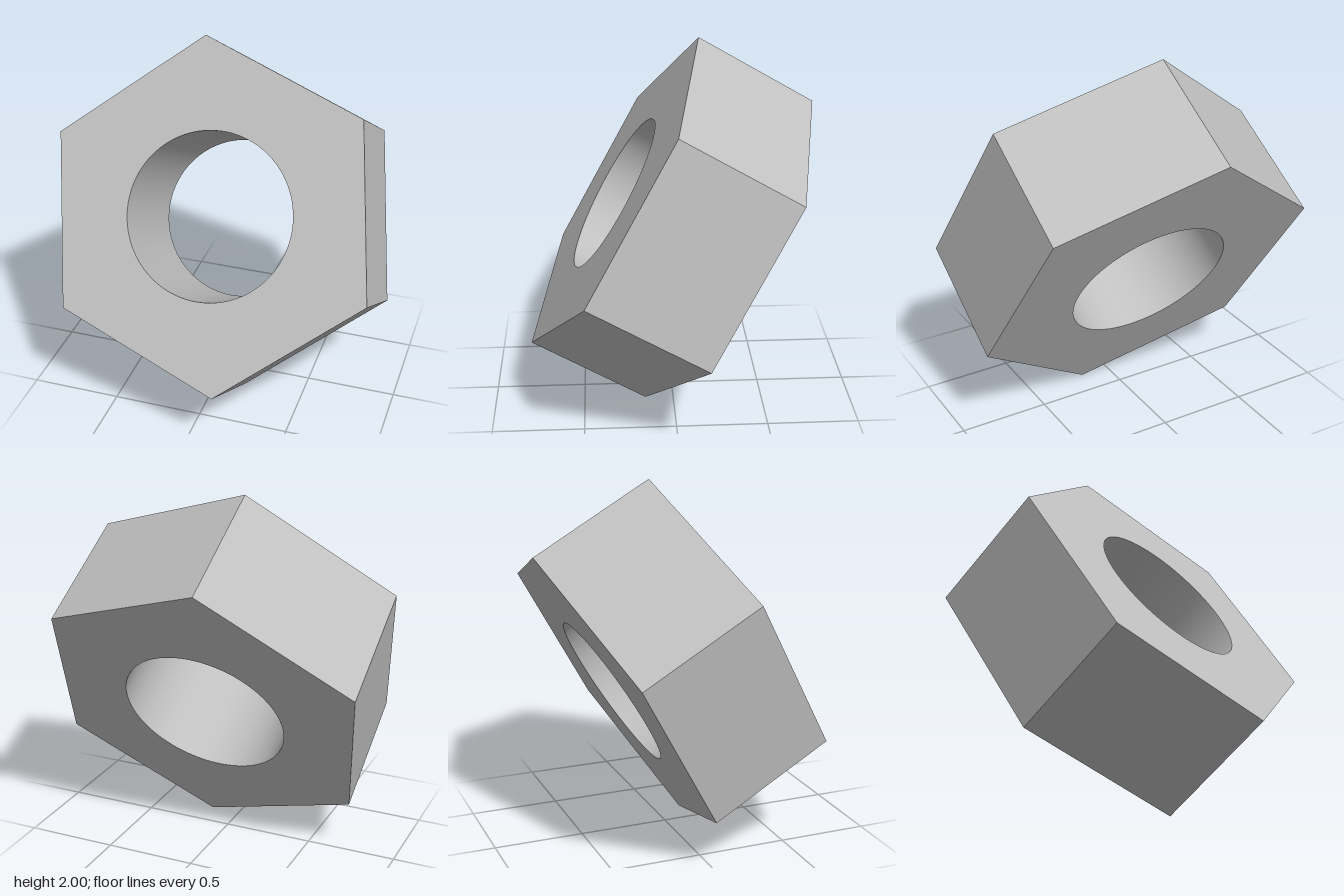
import * as THREE from 'three';
import { toCreasedNormals } from 'three/addons/utils/BufferGeometryUtils.js';

const RADIUS = 0.958, HOLE = 0.454, DEPTH = 0.728;

export function createModel() {
  const model = new THREE.Group();
  model.name = 'hexNut';
  const steel = new THREE.MeshStandardMaterial({ color: 0xc0c0c0 });
  steel.name = 'steel grey';

  // Hexagonal outline, turned 10 degrees about the bore axis
  const corners = Array.from({ length: 6 }, (_, i) => {
    const a = THREE.MathUtils.degToRad(40 + i * 60);
    return new THREE.Vector2(RADIUS * Math.cos(a), RADIUS * Math.sin(a));
  });
  const outline = new THREE.Shape(corners);

  // Round bore through the middle
  outline.holes.push(new THREE.Path().absarc(0, 0, HOLE, 0, Math.PI * 2, true));

  const solid = new THREE.ExtrudeGeometry(outline, {
    depth: DEPTH, bevelEnabled: false, curveSegments: 48,
  }).translate(0, 0, -DEPTH / 2);

  // Smooth bore, sharp hexagon edges
  const nut = new THREE.Mesh(toCreasedNormals(solid, 0.5), steel);
  nut.name = 'nutBody';
  nut.rotation.x = -Math.PI / 6; // leans back
  nut.position.y = 1;
  model.add(nut);
  return model;
}
